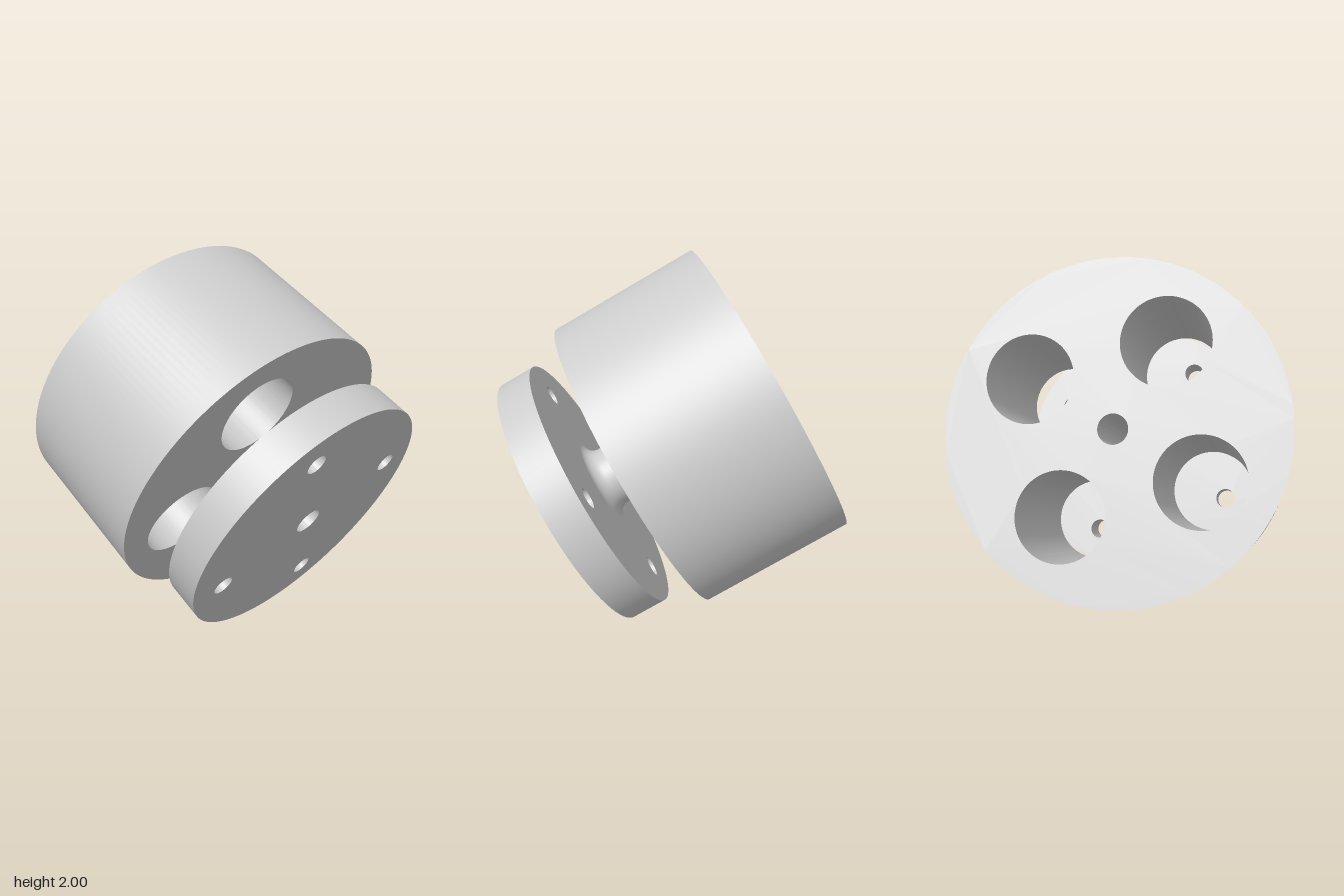
import * as THREE from 'three';
import { toCreasedNormals } from 'three/addons/utils/BufferGeometryUtils.js';

const BORE = 0.076;

// Round plate with a centre bore and four holes on a ring, running along +z
function drilledDisc(name, radius, depth, ring, holeRadius, z) {
  const shape = new THREE.Shape().absarc(0, 0, radius, 0, Math.PI * 2);
  const addHole = (x, y, r) =>
    shape.holes.push(new THREE.Path().absarc(x, y, r, 0, Math.PI * 2, true));
  addHole(0, 0, BORE);
  for (let i = 0; i < 4; i++) {
    const a = i * Math.PI / 2;
    addHole(ring * Math.cos(a), ring * Math.sin(a), holeRadius);
  }
  const geo = new THREE.ExtrudeGeometry(shape, { depth, bevelEnabled: false, curveSegments: 80 });
  const mesh = new THREE.Mesh(toCreasedNormals(geo, 0.5), material());
  mesh.name = name;
  mesh.position.z = z;
  return mesh;
}

function material(side = THREE.FrontSide) {
  return new THREE.MeshStandardMaterial({ color: 0xcccccc, side });
}

// Hollow neck with a fillet where it meets the flange
function neck(radius, fillet, from, to) {
  const points = [new THREE.Vector2(BORE, to), new THREE.Vector2(BORE, from), new THREE.Vector2(radius, from)];
  for (let i = 0; i <= 10; i++) {
    const a = i / 10 * Math.PI / 2;
    points.push(new THREE.Vector2(radius + fillet * (1 - Math.cos(a)), to - fillet * (1 - Math.sin(a))));
  }
  const geo = new THREE.LatheGeometry(points, 64).rotateX(Math.PI / 2);
  const mesh = new THREE.Mesh(toCreasedNormals(geo, 0.5), material(THREE.DoubleSide));
  mesh.name = 'neck';
  return mesh;
}

export function createModel() {
  const bodyDepth = 0.834, gap = 0.222, flangeDepth = 0.195;

  // Parts are stacked along the local z axis, starting at the body's back face
  const assembly = new THREE.Group();
  assembly.name = 'assembly';
  assembly.add(
    drilledDisc('body', 0.855, bodyDepth, 0.493, 0.225, 0),
    neck(0.17, 0.07, bodyDepth, bodyDepth + gap),
    drilledDisc('flange', 0.744, flangeDepth, 0.56, 0.056, bodyDepth + gap)
  );

  // Tilt the stack: the axis points forwards, down and slightly to the right
  const axis = new THREE.Vector3(-0.12, -0.468, 0.875).normalize();
  const across = new THREE.Vector3(0.86, 0.39, 0.327);
  const up = axis.clone().cross(across).normalize();
  across.crossVectors(up, axis);
  assembly.quaternion.setFromRotationMatrix(new THREE.Matrix4().makeBasis(across, up, axis));
  assembly.position.set(0.05, 1.245, -0.512);

  const model = new THREE.Group();
  model.name = 'drilledCylinderWithFlange';
  model.add(assembly);
  return model;
}
